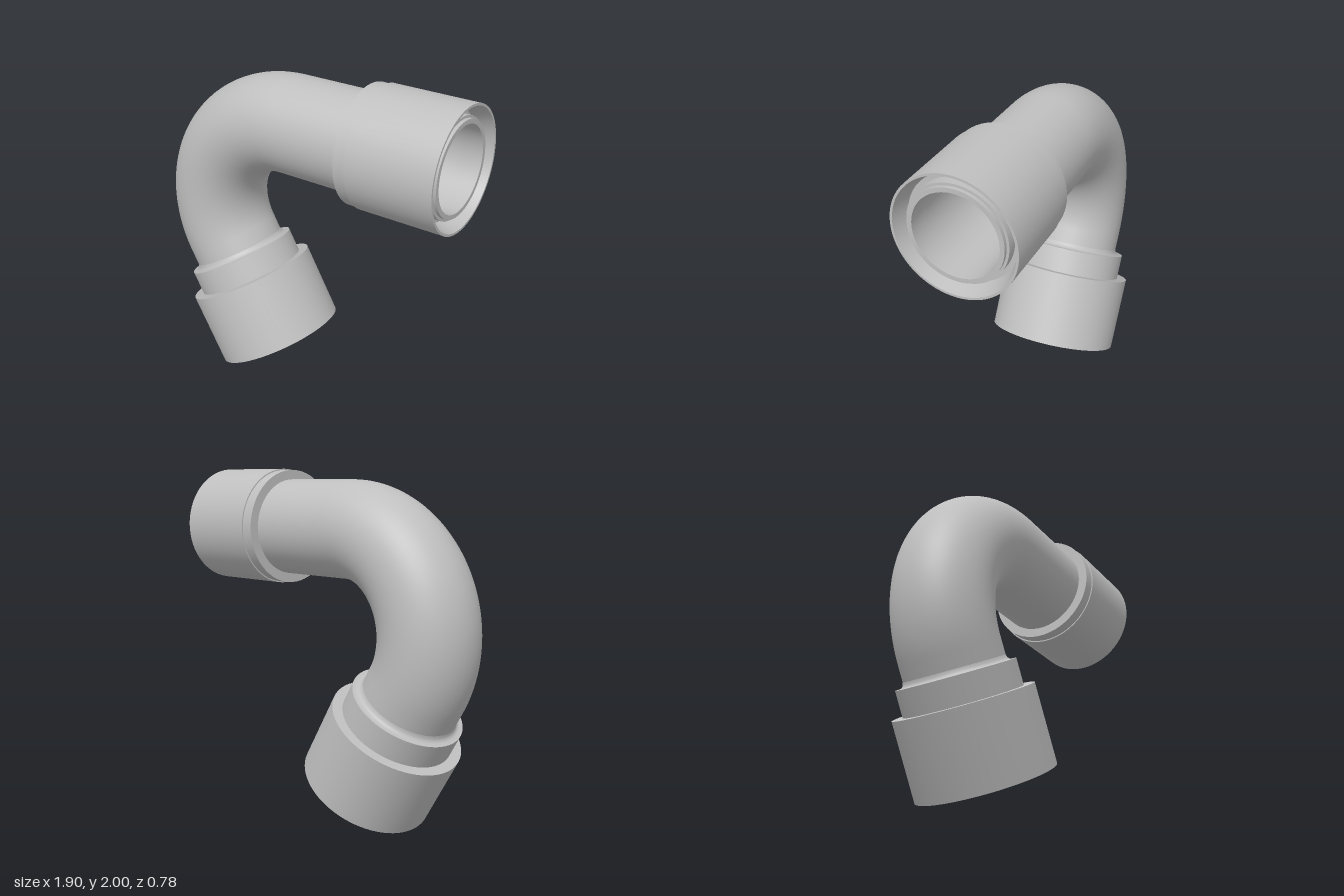
import * as THREE from 'three';
import { toCreasedNormals } from 'three/addons/utils/BufferGeometryUtils.js';

const grey = new THREE.MeshStandardMaterial({ color: 0xbfbfbf, side: THREE.DoubleSide });
grey.name = 'plain grey';

const BEND = new THREE.Vector2(-0.11, 1.1); // centre of the bend
const BEND_R = 0.56;
const PIPE_R = 0.28, BORE_R = 0.235;
const AXIS_Y = BEND.y + BEND_R;

const onBend = (a) => new THREE.Vector3(BEND.x + BEND_R * Math.cos(a), BEND.y + BEND_R * Math.sin(a), 0);

// Quarter-and-a-bit arc lying in the xy plane
class BendCurve extends THREE.Curve {
  getPoint(t, target = new THREE.Vector3()) {
    return target.copy(onBend(THREE.MathUtils.degToRad(90 + 120 * t)));
  }
}

// Turned fitting: profile of [radius, distance along axis]
function turned(name, profile, origin, dir) {
  const lathe = new THREE.LatheGeometry(profile.map(([r, d]) => new THREE.Vector2(r, d)), 72);
  const mesh = new THREE.Mesh(toCreasedNormals(lathe, 0.6), grey);
  mesh.name = name;
  mesh.position.copy(origin);
  mesh.quaternion.setFromUnitVectors(new THREE.Vector3(0, 1, 0), dir);
  return mesh;
}

export function createModel() {
  const group = new THREE.Group();
  group.name = 'pipeElbow';

  const bendEnd = onBend(THREE.MathUtils.degToRad(210));
  const lowerDir = new THREE.Vector3(0.5, -Math.sqrt(3) / 2, 0);
  const lowerEnd = bendEnd.clone().addScaledVector(lowerDir, 0.2);

  // Bent pipe, outer and inner wall
  const path = new THREE.CurvePath();
  path.add(new THREE.LineCurve3(new THREE.Vector3(0.8, AXIS_Y, 0), onBend(Math.PI / 2)));
  path.add(new BendCurve());
  path.add(new THREE.LineCurve3(bendEnd, lowerEnd));
  for (const [name, r] of [['pipeOuterWall', PIPE_R], ['pipeBore', BORE_R]]) {
    const mesh = new THREE.Mesh(new THREE.TubeGeometry(path, 120, r, 64), grey);
    mesh.name = name;
    group.add(mesh);
  }

  const upperOrigin = new THREE.Vector3(0, AXIS_Y, 0);
  const upperDir = new THREE.Vector3(1, 0, 0);

  // Sleeve on the horizontal end, with a tapered mouth
  group.add(turned('upperSleeve', [
    [0.275, 0.38], [0.335, 0.38], [0.335, 0.45], [0.342, 0.45], [0.342, 0.95],
    [0.329, 0.95], [0.299, 0.85], [0.265, 0.85],
  ], upperOrigin, upperDir));

  // Stepped spigot inside the sleeve
  group.add(turned('innerSpigot', [
    [0.274, 0.8], [0.274, 0.91], [0.26, 0.91], [0.26, 0.93], [BORE_R, 0.93], [BORE_R, 0.8],
  ], upperOrigin, upperDir));

  // Socket on the slanted end: fillet, collar, wide cup and its inner shoulder
  group.add(turned('lowerSocket', [
    [0.28, 0.095], [0.284, 0.11], [0.292, 0.121], [0.305, 0.127], [0.33, 0.127],
    [0.33, 0.275], [0.39, 0.275], [0.39, 0.72], [0.378, 0.72], [0.375, 0.35],
    [0.29, 0.35], [0.29, 0.2], [BORE_R, 0.2],
  ], bendEnd, lowerDir));

  return group;
}
